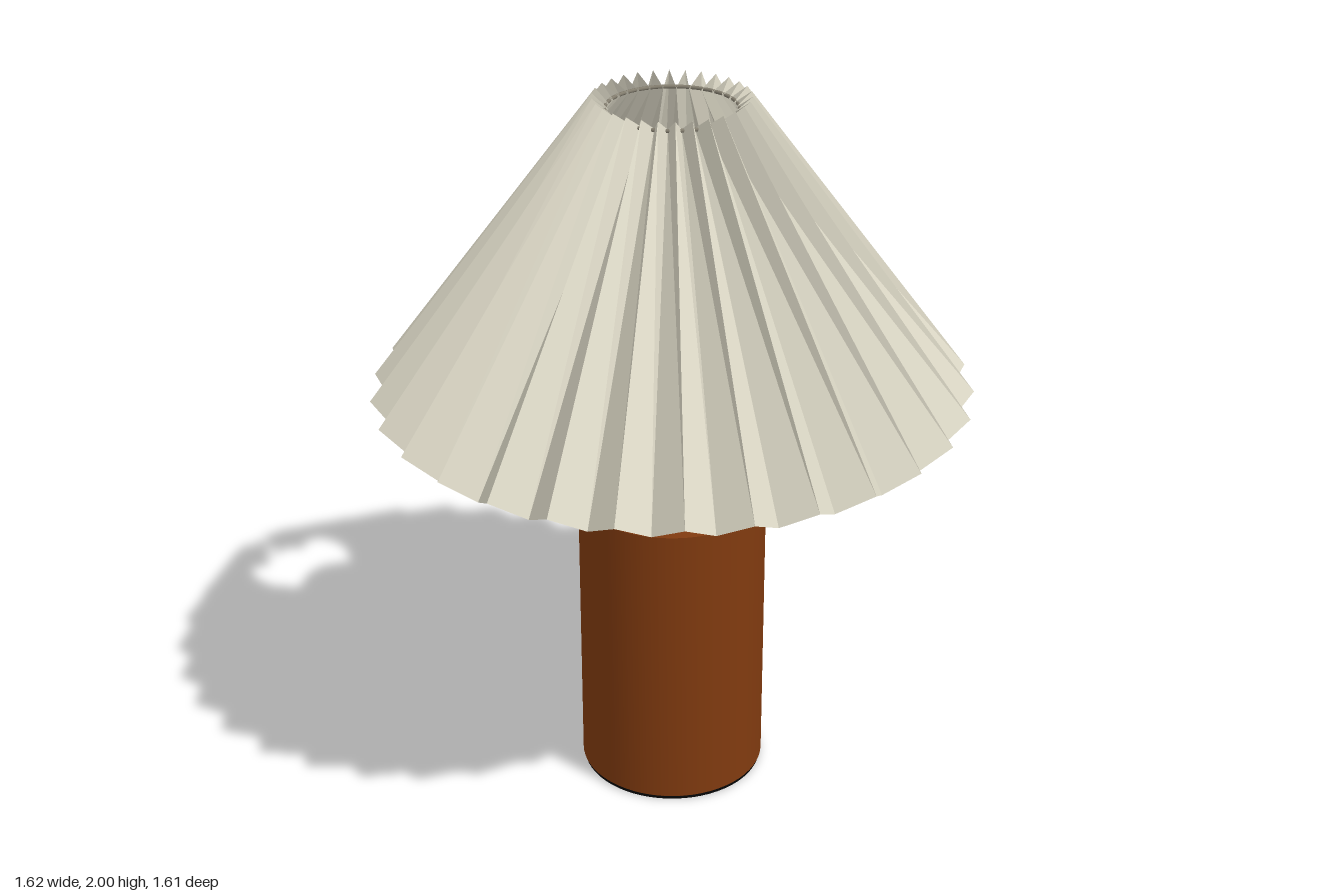
import * as THREE from 'three';
import { toCreasedNormals } from 'three/addons/utils/BufferGeometryUtils.js';

const mat = (name, color, extra = {}) => {
  const m = new THREE.MeshStandardMaterial({ color, ...extra });
  m.name = name;
  return m;
};

// Turned part from [radius, height] pairs, listed bottom to top
function turned(profile, segments = 48) {
  const pts = profile.map(([r, y]) => new THREE.Vector2(r, y));
  return toCreasedNormals(new THREE.LatheGeometry(pts, segments), 0.5);
}

// Pleated cone: ridges and valleys alternate around the axis
function pleatedShade(pleats) {
  const ridge = [[0.81, 1.19], [0.205, 2.0]];
  const valley = [[0.752, 1.14], [0.162, 1.965]];
  const point = (i, end) => {
    const [r, y] = (i % 2 ? valley : ridge)[end];
    const a = (i * Math.PI) / pleats;
    return [r * Math.cos(a), y, r * Math.sin(a)];
  };
  const pos = [];
  for (let i = 0; i < pleats * 2; i++) {
    const a = point(i, 0), b = point(i + 1, 0), c = point(i + 1, 1), d = point(i, 1);
    pos.push(...a, ...d, ...c, ...a, ...c, ...b);
  }
  const g = new THREE.BufferGeometry();
  g.setAttribute('position', new THREE.Float32BufferAttribute(pos, 3));
  g.computeVertexNormals();
  return g;
}

export function createModel() {
  const lamp = new THREE.Group();
  lamp.name = 'tableLamp';

  const wood = mat('reddish wood', 0x803a0f);
  const felt = mat('black felt', 0x050505);
  const brass = mat('brass', 0xc8965a);
  const darkBrass = mat('dark brass', 0x8a6640);
  const wire = mat('wire', 0x857f70);
  const fabric = mat('cream fabric', 0xdedac8, { side: THREE.DoubleSide, flatShading: true });
  const glass = mat('bulb glass', 0xe0dccc);

  const add = (name, geometry, material, parent = lamp) => {
    const mesh = new THREE.Mesh(geometry, material);
    mesh.name = name;
    parent.add(mesh);
    return mesh;
  };

  // Base
  add('base', turned([[0.25, 0.003], [0.26, 0.012], [0.26, 0.855], [0.25, 0.866], [0, 0.866]], 64), wood);
  add('baseFelt', new THREE.CylinderGeometry(0.256, 0.256, 0.008, 64), felt).position.y = 0.004;

  // Stem and bulb socket
  add('stem', turned([
    [0.038, 0.866], [0.038, 0.878], [0.028, 0.888], [0.028, 0.94],
    [0.04, 0.95], [0.04, 0.966],
  ], 32), brass);
  add('socket', turned([
    [0, 0.964], [0.085, 0.964], [0.127, 1.0], [0.127, 1.2],
    [0.116, 1.21], [0.116, 1.275], [0.07, 1.28], [0, 1.28],
  ]), brass);
  add('collar', turned([
    [0.12, 1.19], [0.155, 1.19], [0.16, 1.197], [0.16, 1.213], [0.155, 1.22], [0.11, 1.22],
  ]), darkBrass);

  // Bulb: flared neck under a round top
  const bulb = [[0.068, 1.275], [0.072, 1.33], [0.088, 1.4], [0.115, 1.48], [0.14, 1.55]];
  for (let i = 0; i <= 12; i++) {
    const a = -0.15 + (i / 12) * (Math.PI / 2 + 0.15);
    bulb.push([Math.max(0, 0.155 * Math.cos(a)), 1.63 + 0.155 * Math.sin(a)]);
  }
  add('bulb', turned(bulb), glass);

  // Wire frame carrying the shade
  const frame = new THREE.Group();
  frame.name = 'shadeFrame';
  lamp.add(frame);
  const ring = (name, r, y) => {
    const m = add(name, new THREE.TorusGeometry(r, 0.005, 6, 60), wire, frame);
    m.rotation.x = Math.PI / 2;
    m.position.y = y;
  };
  ring('middleRing', 0.372, 1.65);
  ring('topRing', 0.172, 1.965);
  const armPath = new THREE.CatmullRomCurve3([
    [0.13, 1.212], [0.22, 1.215], [0.255, 1.235], [0.275, 1.29], [0.372, 1.65],
  ].map(([x, y]) => new THREE.Vector3(x, y, 0)));
  const armGeometry = new THREE.TubeGeometry(armPath, 24, 0.005, 6);
  for (const angle of [60, 180, 300]) {
    add('frameArm', armGeometry, wire, frame).rotation.y = -THREE.MathUtils.degToRad(angle);
  }

  // Shade
  add('pleatedShade', pleatedShade(30), fabric);

  return lamp;
}
